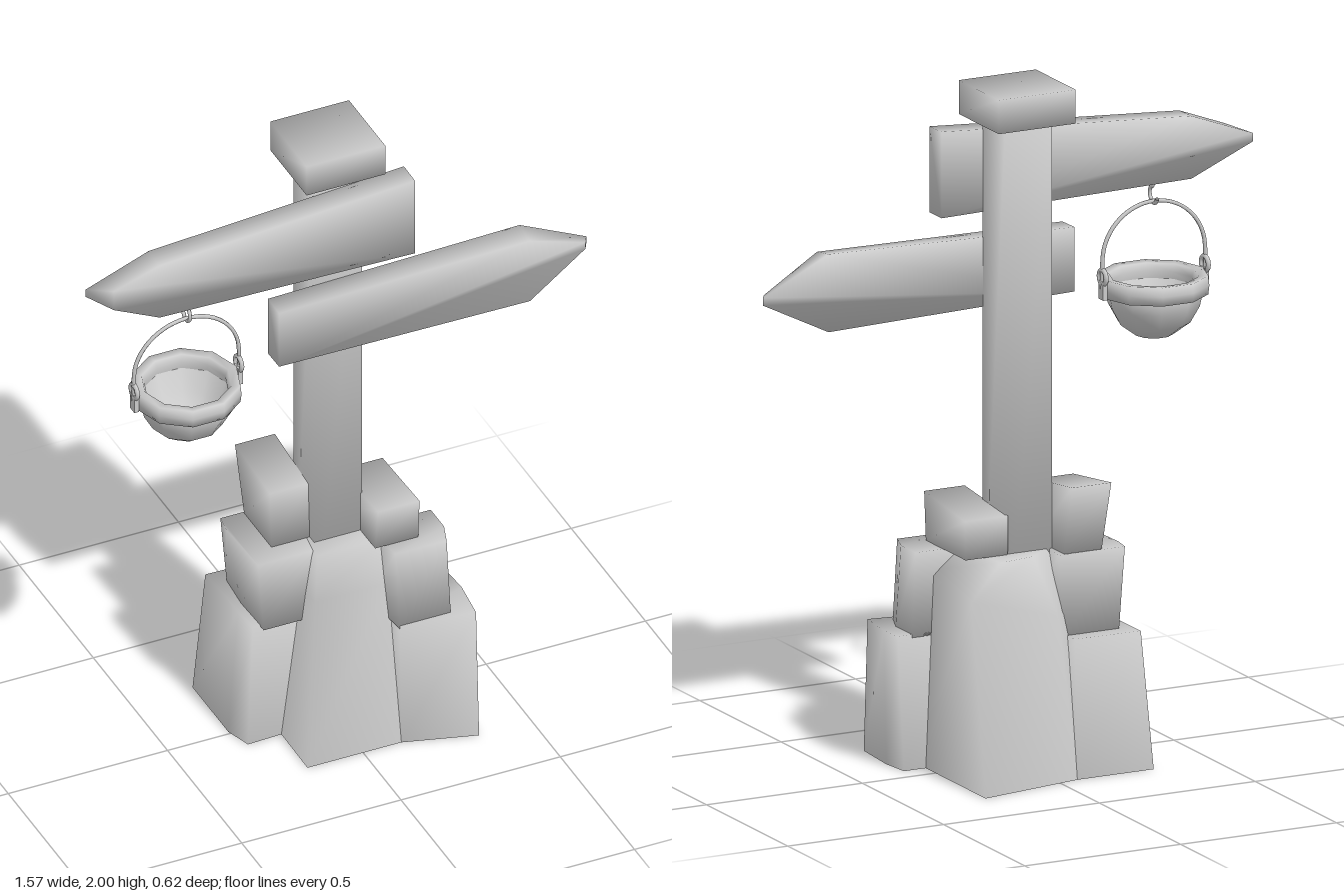
import * as THREE from 'three';

const grey = new THREE.MeshStandardMaterial({ color: 0xcccccc, side: THREE.DoubleSide });

// Soft normals: each face counts by its angle at the corner.
function softNormals(points, index) {
  const normals = points.map(() => new THREE.Vector3());
  for (let i = 0; i < index.length; i += 3) {
    const tri = index.slice(i, i + 3);
    const [a, b, c] = tri.map((k) => points[k]);
    const face = new THREE.Triangle(a, b, c).getNormal(new THREE.Vector3());
    tri.forEach((k, j) => {
      const e1 = points[tri[(j + 1) % 3]].clone().sub(points[k]);
      const e2 = points[tri[(j + 2) % 3]].clone().sub(points[k]);
      normals[k].addScaledVector(face, e1.angleTo(e2));
    });
  }
  return normals.flatMap((n) => n.normalize().toArray());
}

// Skin a surface through rings of equal point count; shared corners give soft shading.
function loft(rings, capStart = true) {
  const n = rings[0].length, last = (rings.length - 1) * n, index = [];
  for (let r = 0; r < rings.length - 1; r++)
    for (let j = 0; j < n; j++) {
      const a = r * n + j, b = r * n + (j + 1) % n;
      index.push(a, b, b + n, a, b + n, a + n);
    }
  for (let j = 1; j < n - 1; j++) {
    if (capStart) index.push(0, j + 1, j);
    index.push(last, last + j, last + j + 1);
  }
  const points = rings.flat().map((p) => new THREE.Vector3(...p));
  const g = new THREE.BufferGeometry().setFromPoints(points);
  g.setIndex(index);
  g.setAttribute('normal', new THREE.Float32BufferAttribute(softNormals(points, index), 3));
  return g;
}

// Ring corners run front-left, front-right, back-right, back-left.
const rect = (x0, x1, z0, z1, y) => [[x0, y, z1], [x1, y, z1], [x1, y, z0], [x0, y, z0]];
const level = (y, pts) => pts.map(([x, z]) => [x, y, z]);

export function createModel() {
  const model = new THREE.Group();
  const add = (name, geometry, parent = model) => {
    const m = new THREE.Mesh(geometry, grey);
    m.name = name;
    parent.add(m);
    return m;
  };

  // Post and cap
  add('post', loft([rect(-0.07, 0.08, -0.075, 0.065, 0.3), rect(-0.07, 0.08, -0.075, 0.065, 1.92)]));
  add('postCap', loft([rect(-0.117, 0.13, -0.13, 0.115, 1.9), rect(-0.117, 0.13, -0.13, 0.115, 2)]));

  // Pointed sign boards, outlines anticlockwise, bevelled towards the tip
  const zb = 0.064, zf = 0.14;
  add('upperSign', loft([
    [[0.212, 1.615, zb], [0.212, 1.87, zb], [-0.59, 1.815, zb], [-0.787, 1.74, zb], [-0.787, 1.715, zb], [-0.59, 1.63, zb]],
    [[0.212, 1.615, zf], [0.212, 1.868, zf], [-0.59, 1.813, zf], [-0.73, 1.76, zf - 0.008], [-0.73, 1.695, zf - 0.008], [-0.59, 1.632, zf]],
  ]));
  add('lowerSign', loft([
    [[-0.215, 1.345, zb], [0.575, 1.325, zb], [0.785, 1.43, zb], [0.785, 1.452, zb], [0.575, 1.555, zb], [-0.215, 1.535, zb]],
    [[-0.215, 1.347, zf], [0.575, 1.335, zf - 0.005], [0.77, 1.43, 0.09], [0.77, 1.452, 0.09], [0.575, 1.545, zf - 0.005], [-0.215, 1.533, zf]],
  ]));

  // Rocks around the foot, open underneath
  const rocks = new THREE.Group();
  rocks.name = 'rocks';
  model.add(rocks);
  add('mainRock', loft([
    level(0, [[-0.175, 0.245], [0.12, 0.245], [0.265, 0.1], [0.265, -0.308], [-0.06, -0.25], [-0.17, -0.2]]),
    [[-0.108, 0.5, 0.155], [0.12, 0.5, 0.155], [0.24, 0.57, 0.11], [0.24, 0.54, -0.172], [-0.035, 0.47, -0.18], [-0.12, 0.47, -0.13]],
    level(0.64, [[-0.09, 0.13], [0.12, 0.13], [0.15, 0.08], [0.135, -0.15], [0.02, -0.13], [-0.085, -0.05]]),
  ], false), rocks);
  add('leftLowerRock', loft([
    level(0, [[0.12, 0.245], [0.335, 0.307], [0.345, 0.15], [0.335, 0.06], [0.12, 0.06]]),
    level(0.4, [[0.12, 0.235], [0.345, 0.265], [0.36, 0.135], [0.355, 0.06], [0.12, 0.06]]),
  ], false), rocks);
  add('leftMiddleRock', loft([
    level(0.39, [[0.12, 0.235], [0.28, 0.235], [0.31, 0.16], [0.31, 0.06], [0.1, 0.06]]),
    level(0.64, [[0.115, 0.215], [0.275, 0.217], [0.298, 0.15], [0.298, 0.06], [0.1, 0.06]]),
  ]), rocks);
  add('leftUpperRock', loft([
    rect(0.075, 0.21, -0.08, 0.165, 0.64),
    [[0.075, 0.78, 0.185], [0.205, 0.78, 0.185], [0.213, 0.755, -0.082], [0.075, 0.755, -0.082]],
  ]), rocks);
  add('rightLowerRock', loft([
    level(0, [[-0.28, 0.07], [-0.06, 0.06], [-0.06, -0.25], [-0.305, -0.25], [-0.305, -0.01]]),
    level(0.405, [[-0.265, 0.07], [-0.06, 0.06], [-0.07, -0.215], [-0.278, -0.222], [-0.275, -0.01]]),
  ], false), rocks);
  add('rightMiddleRock', loft([
    level(0.4, [[-0.24, 0.09], [-0.08, 0.09], [-0.06, -0.17], [-0.235, -0.17], [-0.245, -0.05]]),
    level(0.64, [[-0.262, 0.1], [-0.09, 0.1], [-0.05, -0.155], [-0.262, -0.155], [-0.27, -0.1]]),
  ]), rocks);
  add('rightUpperRock', loft([
    rect(-0.19, -0.07, -0.15, 0.035, 0.64),
    [[-0.19, 0.82, 0.025], [-0.07, 0.82, 0.025], [-0.07, 0.848, -0.2], [-0.195, 0.848, -0.2]],
  ]), rocks);

  // Hanging basket
  const basket = new THREE.Group();
  basket.name = 'hangingBasket';
  basket.position.set(-0.486, 0, 0.097);
  model.add(basket);
  const lathe = (pts) => new THREE.LatheGeometry(pts.map(([r, y]) => new THREE.Vector2(r, y)), 10, Math.PI / 2);
  add('basketBowl', lathe([[0, 1.175], [0.055, 1.178], [0.105, 1.215], [0.133, 1.265], [0.142, 1.31],
    [0.125, 1.31], [0.1, 1.245], [0.05, 1.21], [0, 1.205]]), basket);
  add('basketRim', lathe([[0.125, 1.305], [0.157, 1.3], [0.16, 1.327], [0.157, 1.355], [0.13, 1.352], [0.122, 1.33], [0.125, 1.305]]), basket);

  // Arched handle with an eyelet on each side
  const arch = [new THREE.Vector3(-0.165, 1.33, 0), new THREE.Vector3(-0.165, 1.41, 0)];
  for (let i = 1; i < 12; i++) {
    const t = Math.PI * (1 - i / 12);
    arch.push(new THREE.Vector3(0.165 * Math.cos(t), 1.41 + 0.16 * Math.sin(t), 0));
  }
  arch.push(new THREE.Vector3(0.165, 1.41, 0), new THREE.Vector3(0.165, 1.33, 0));
  add('basketHandle', new THREE.TubeGeometry(new THREE.CatmullRomCurve3(arch), 36, 0.006, 6), basket);
  for (const s of [-1, 1]) {
    const eyelet = add('handleEyelet', new THREE.TorusGeometry(0.022, 0.007, 6, 12), basket);
    eyelet.rotation.y = Math.PI / 2;
    eyelet.position.set(s * 0.164, 1.365, 0);
    const lug = add('handleLug', new THREE.BoxGeometry(0.014, 0.055, 0.03), basket);
    lug.position.set(s * 0.163, 1.327, 0);
  }

  // Open hook from the sign down to the handle
  const hook = [[1.64, 0.005], [1.615, 0.005], [1.605, 0.02], [1.585, 0.024], [1.566, 0.008], [1.566, -0.01], [1.58, -0.022]]
    .map(([y, z]) => new THREE.Vector3(0, y, z));
  add('hook', new THREE.TubeGeometry(new THREE.CatmullRomCurve3(hook), 20, 0.006, 6), basket);

  return model;
}
